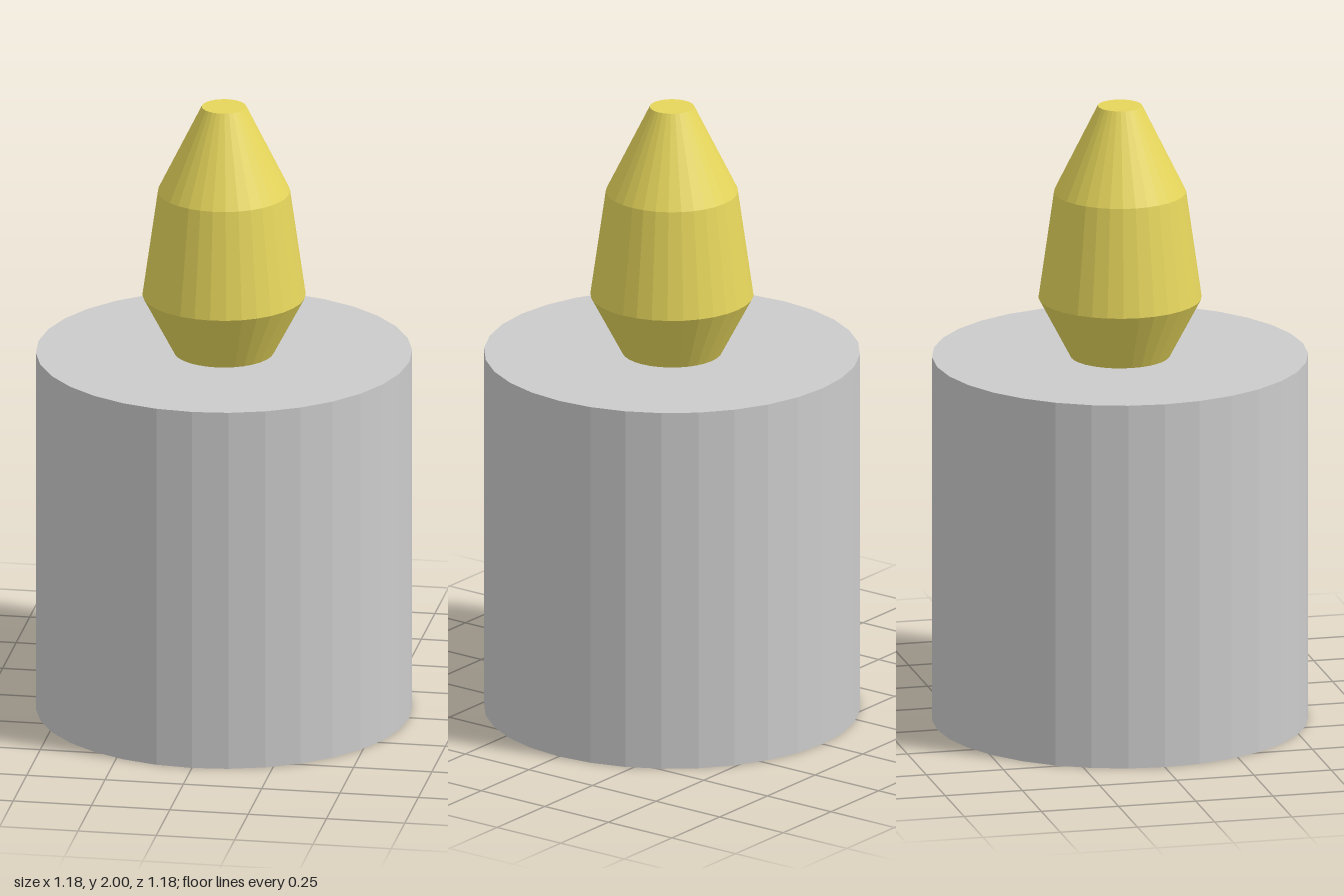
import * as THREE from 'three';

const SIDES = 32;

export function createModel() {
  const model = new THREE.Group();
  model.name = 'candle';

  const wax = new THREE.MeshStandardMaterial({ color: 0xcccccc, flatShading: true });
  const fire = new THREE.MeshStandardMaterial({ color: 0xe6d65c, flatShading: true });

  // Wax body: plain closed cylinder
  const bodyHeight = 1.185;
  const body = new THREE.Mesh(new THREE.CylinderGeometry(0.592, 0.592, bodyHeight, SIDES), wax);
  body.name = 'candleBody';
  body.position.y = bodyHeight / 2;
  model.add(body);

  // Flame: faceted turned profile, closed at both ends
  const profile = [
    [0, bodyHeight],
    [0.157, bodyHeight],
    [0.257, 1.375],
    [0.208, 1.72],
    [0.07, 2],
    [0, 2],
  ].map(([r, y]) => new THREE.Vector2(r, y));
  const flame = new THREE.Mesh(new THREE.LatheGeometry(profile, SIDES), fire);
  flame.name = 'flame';
  model.add(flame);

  return model;
}
